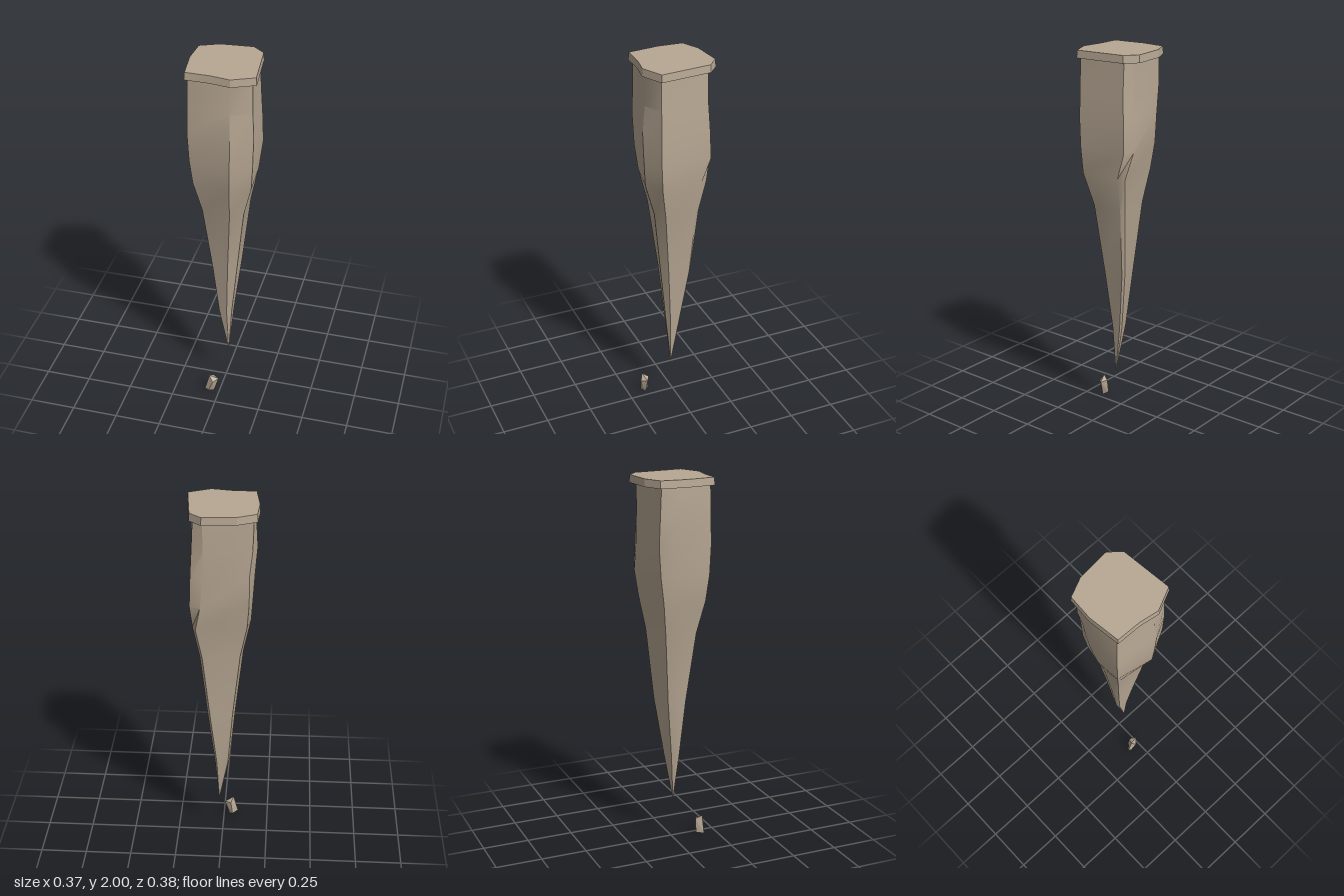
import * as THREE from 'three';
import { toCreasedNormals } from 'three/addons/utils/BufferGeometryUtils.js';
import { ConvexGeometry } from 'three/addons/geometries/ConvexGeometry.js';

// Joins rings of [x, y, z], listed from top to bottom; closes both ends with fans.
function loft(rings) {
  const pos = [];
  const tri = (a, b, c) => pos.push(...a, ...b, ...c);
  const n = rings[0].length;
  for (let r = 0; r < rings.length - 1; r++) {
    const up = rings[r], low = rings[r + 1];
    for (let i = 0; i < n; i++) {
      const j = (i + 1) % n;
      tri(low[i], low[j], up[j]);
      tri(low[i], up[j], up[i]);
    }
  }
  const centre = ring => [0, 1, 2].map(k => ring.reduce((s, p) => s + p[k], 0) / n);
  const top = rings[0], bottom = rings[rings.length - 1];
  const ct = centre(top), cb = centre(bottom);
  for (let i = 0; i < n; i++) {
    const j = (i + 1) % n;
    tri(ct, top[i], top[j]);
    tri(cb, bottom[j], bottom[i]);
  }
  const g = new THREE.BufferGeometry();
  g.setAttribute('position', new THREE.Float32BufferAttribute(pos, 3));
  return g;
}

const ringAt = (y, xz, s = 1) => xz.map(([x, z]) => [x * s, y, z * s]);

export function createModel() {
  const group = new THREE.Group();
  const stone = new THREE.MeshStandardMaterial({ color: 0xb8a894 });
  stone.name = 'warm stone';
  const add = (name, geometry, crease) => {
    const mesh = new THREE.Mesh(toCreasedNormals(geometry, crease), stone);
    mesh.name = name;
    group.add(mesh);
  };

  // Thin slab on top, slightly wider at its lower edge
  const outline = [[-0.163, 0.166], [-0.035, 0.170], [0.068, 0.187], [0.183, 0.134],
    [0.155, -0.135], [0.093, -0.189], [-0.078, -0.176], [-0.176, -0.132], [-0.184, 0]];
  add('topSlab', loft([ringAt(2, outline), ringAt(1.96, outline, 1.018)]), 0.3);

  // Tapering spike; corners run front left, front, front right, back right, back, back left, left
  const sections = [
    [1.965, [[-0.155, 0.150], [0.060, 0.170], [0.165, 0.130], [0.140, -0.130], [0.090, -0.155], [-0.160, -0.120], [-0.167, -0.03]]],
    [1.80, [[-0.158, 0.152], [0.062, 0.176], [0.168, 0.130], [0.148, -0.130], [0.090, -0.155], [-0.155, -0.125], [-0.178, -0.06]]],
    [1.66, [[-0.160, 0.155], [0.066, 0.190], [0.174, 0.132], [0.155, -0.138], [0.092, -0.157], [-0.140, -0.125], [-0.167, -0.06]]],
    [1.50, [[-0.153, 0.150], [0.064, 0.184], [0.170, 0.130], [0.160, -0.144], [0.105, -0.164], [-0.140, -0.115], [-0.157, -0.04]]],
    [1.36, [[-0.140, 0.135], [0.060, 0.176], [0.162, 0.122], [0.150, -0.095], [0.132, -0.132], [-0.130, -0.095], [-0.148, 0]]],
    [1.18, [[-0.102, 0.100], [0.050, 0.124], [0.116, 0.087], [0.114, -0.085], [0.100, -0.104], [-0.095, -0.070], [-0.110, 0]]],
    [0.80, [[-0.060, 0.060], [0.028, 0.080], [0.073, 0.052], [0.074, -0.065], [0.062, -0.075], [-0.055, -0.040], [-0.068, 0.01]]],
    [0.48, [[-0.030, 0.035], [0.014, 0.045], [0.038, 0.028], [0.040, -0.022], [0.030, -0.030], [-0.030, -0.010], [-0.038, 0.015]]],
  ];
  const rings = sections.map(([y, xz]) => ringAt(y, xz));
  rings.push(ringAt(0.21, sections[0][1].map(([x, z]) => [0.02 + x * 0.005, 0.02 + z * 0.005])));
  add('spike', loft(rings), 0.52);

  // Loose chip below the tip
  const chip = [[-0.055, 0.112, 0.165], [-0.005, 0.086, 0.150], [-0.032, 0.078, 0.181], [-0.040, 0.092, 0.130],
    [-0.080, 0.015, 0.165], [-0.060, 0.004, 0.172], [-0.030, 0, 0.155], [-0.050, 0.014, 0.130]];
  add('looseChip', new ConvexGeometry(chip.map(p => new THREE.Vector3(...p))), 0.2);

  return group;
}
